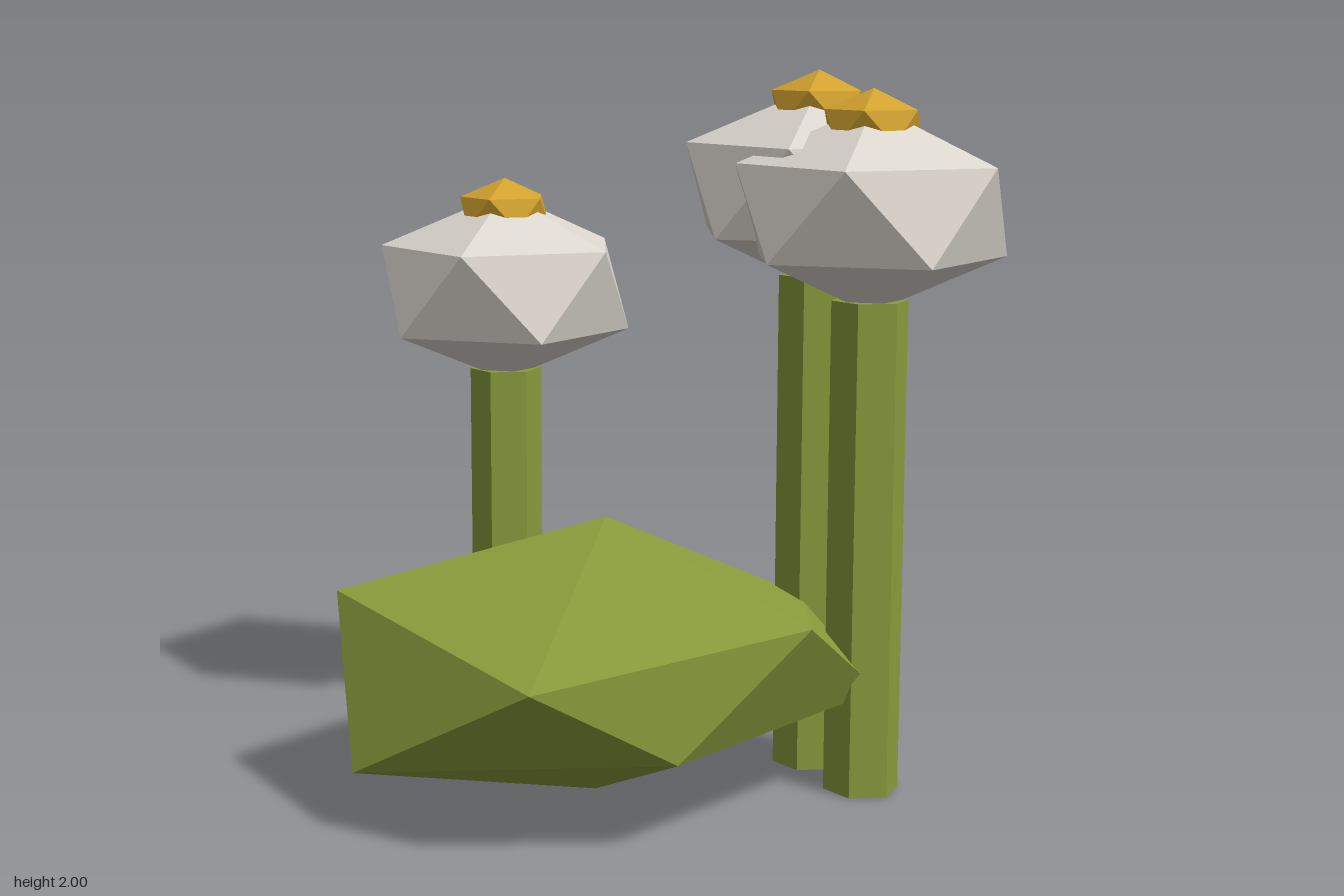
import * as THREE from 'three';

const green = new THREE.MeshStandardMaterial({ color: 0x8a9c3c, flatShading: true });
const white = new THREE.MeshStandardMaterial({ color: 0xdcd6ce, flatShading: true });
const yellow = new THREE.MeshStandardMaterial({ color: 0xd4a32f, flatShading: true });

// Twenty-sided solid from a top point, two staggered rings of five and a bottom point.
// Rings run counterclockwise seen from above; lower[i] sits between upper[i] and upper[i + 1].
function facetedGeometry(top, upper, lower, bottom) {
  const points = [];
  for (let i = 0; i < 5; i++) {
    const j = (i + 1) % 5;
    points.push(top, upper[i], upper[j]);
    points.push(upper[i], lower[i], upper[j]);
    points.push(lower[i], lower[j], upper[j]);
    points.push(bottom, lower[j], lower[i]);
  }
  const geometry = new THREE.BufferGeometry();
  geometry.setAttribute('position', new THREE.Float32BufferAttribute(points.flat(), 3));
  geometry.computeVertexNormals();
  return geometry;
}

// Regular version of the solid, flattened in height, with one upper corner toward +x
function knobGeometry(ringRadius) {
  const apex = ringRadius * 0.76;
  const ringY = ringRadius * 0.34;
  const ring = (y, turn) => Array.from({ length: 5 }, (_, i) => {
    const a = (i + turn) * Math.PI * 2 / 5;
    return [ringRadius * Math.cos(a), y, -ringRadius * Math.sin(a)];
  });
  return facetedGeometry([0, apex, 0], ring(ringY, 0), ring(-ringY, 0.5), [0, -apex, 0]);
}

function addMesh(parent, name, geometry, material, x = 0, y = 0, z = 0) {
  const mesh = new THREE.Mesh(geometry, material);
  mesh.name = name;
  mesh.position.set(x, y, z);
  parent.add(mesh);
  return mesh;
}

// Flower: hexagonal stem, pale head and yellow centre
function createFlower(name, x, z, height) {
  const flower = new THREE.Group();
  flower.name = name;
  flower.position.set(x, 0, z);
  addMesh(flower, 'stem', new THREE.CylinderGeometry(0.107, 0.107, height, 6), green, 0, height / 2, 0);
  addMesh(flower, 'flowerHead', knobGeometry(0.37), white, 0, height + 0.245, 0);
  addMesh(flower, 'flowerCentre', knobGeometry(0.133), yellow, 0, height + 0.47, 0);
  return flower;
}

export function createModel() {
  const model = new THREE.Group();
  model.name = 'flowerClump';

  // Irregular leafy mound
  addMesh(model, 'bush', facetedGeometry(
    [-0.08, 0.77, 0.09],
    [[-0.75, 0.59, -0.25], [-0.71, 0.49, 0.62], [0.06, 0.575, 0.8], [0.535, 0.48, 0.22], [0.12, 0.575, -0.47]],
    [[-0.88, 0.17, 0.04], [-0.31, 0.255, 0.71], [0.53, 0.27, 0.56], [0.51, 0.095, -0.285], [-0.385, 0.1, -0.525]],
    [-0.18, 0.02, 0.175]
  ), green);

  model.add(createFlower('backFlower', 0.03, -0.565, 1.1));
  model.add(createFlower('middleFlower', 0.507, 0.295, 1.428));
  model.add(createFlower('frontFlower', 0.462, 0.565, 1.385));
  return model;
}
